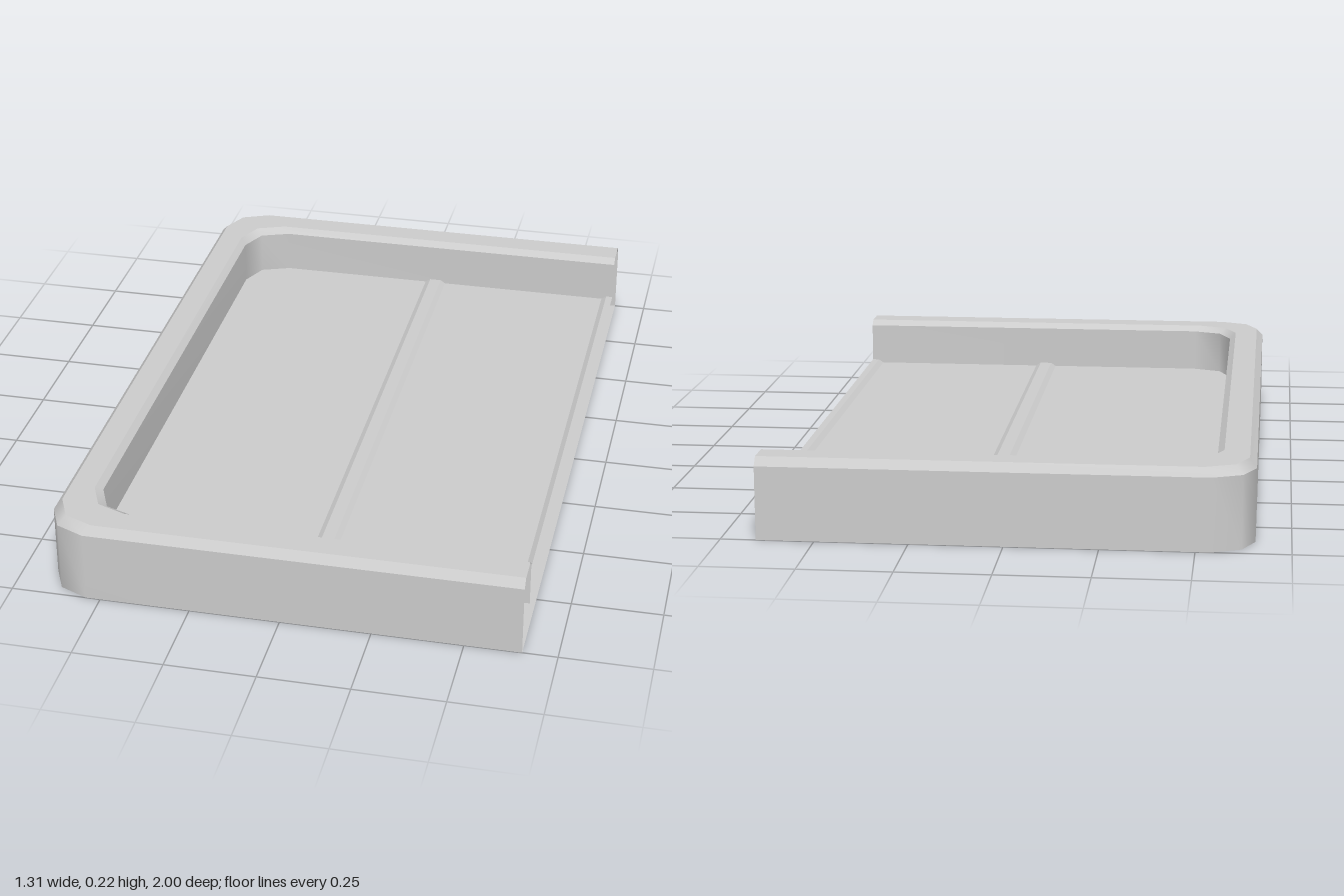
import * as THREE from 'three';

const material = new THREE.MeshStandardMaterial({ color: 0xcccccc, side: THREE.DoubleSide });
const END = 0.655;

// Half outlines [x, z] from the open end to the closed end, with faceted corners
const OUTER = [[END, -1], [-0.54, -1], [-0.62, -0.965], [-END, -0.89]];
const INNER = [[END, -0.887], [-0.43, -0.887], [-0.515, -0.855], [-0.55, -0.775]];

// Completes a half outline by mirroring it in z
const mirrored = (half) => [...half, ...half.map(([x, z]) => [x, -z]).reverse()];

// U-shaped ring of points at height y; t = 0 is the outer outline, t = 1 the inner one
function ring(t, y) {
  const half = OUTER.map(([x, z], i) => [
    x + (INNER[i][0] - x) * t,
    z + (INNER[i][1] - z) * t,
  ]);
  return mirrored(half).map(([x, z]) => [x, y, z]);
}

// Ribbon of quads between two rows of points
function ribbon(a, b, flat = false) {
  const index = [];
  const n = a.length;
  for (let i = 0; i < n - 1; i++) {
    index.push(i, i + 1, n + i, i + 1, n + i + 1, n + i);
  }
  let geometry = new THREE.BufferGeometry();
  geometry.setAttribute('position', new THREE.Float32BufferAttribute([...a, ...b].flat(), 3));
  geometry.setIndex(index);
  if (flat) geometry = geometry.toNonIndexed();
  geometry.computeVertexNormals();
  return geometry;
}

// Horizontal sheet filling an outline
function sheet(outline, y, up) {
  const shape = new THREE.Shape(outline.map(([x, z]) => new THREE.Vector2(x, z)));
  return new THREE.ShapeGeometry(shape)
    .rotateX(up ? -Math.PI / 2 : Math.PI / 2)
    .translate(0, y, 0);
}

export function createModel() {
  const tray = new THREE.Group();
  tray.name = 'tray';
  const add = (name, geometry, parent = tray) => {
    const mesh = new THREE.Mesh(geometry, material);
    mesh.name = name;
    parent.add(mesh);
  };

  // Hollow rim: outer wall, bevel, top, inner bevel, inner wall; open at the +x end
  const rim = new THREE.Group();
  rim.name = 'rim';
  tray.add(rim);
  const profile = [[0, 0], [0, 0.2], [0.18, 0.223], [0.83, 0.223], [1, 0.207], [1, 0.08]];
  const names = ['outerWall', 'outerBevel', 'rimTop', 'innerBevel', 'innerWall'];
  names.forEach((name, i) => {
    add(name, ribbon(ring(...profile[i]), ring(...profile[i + 1])), rim);
  });

  // Underside
  add('base', sheet(mirrored(OUTER), 0, false));

  // Inner floor, flat up to the first ridge
  const floorHalf = INNER.map(([x, z]) => [Math.min(x, 0.035), z]);
  add('floor', sheet(mirrored(floorHalf), 0.08, true));

  // Rest of the floor, with a middle ridge and a raised lip at the open end
  const steps = [
    [0.035, 0.08], [0.05, 0.09], [0.085, 0.09], [0.1, 0.08],
    [0.62, 0.08], [0.635, 0.09], [END, 0.09],
  ];
  const row = (z) => steps.map(([x, y]) => [x, y, z]);
  add('ridgedFloor', ribbon(row(0.887), row(-0.887), true));

  return tray;
}
